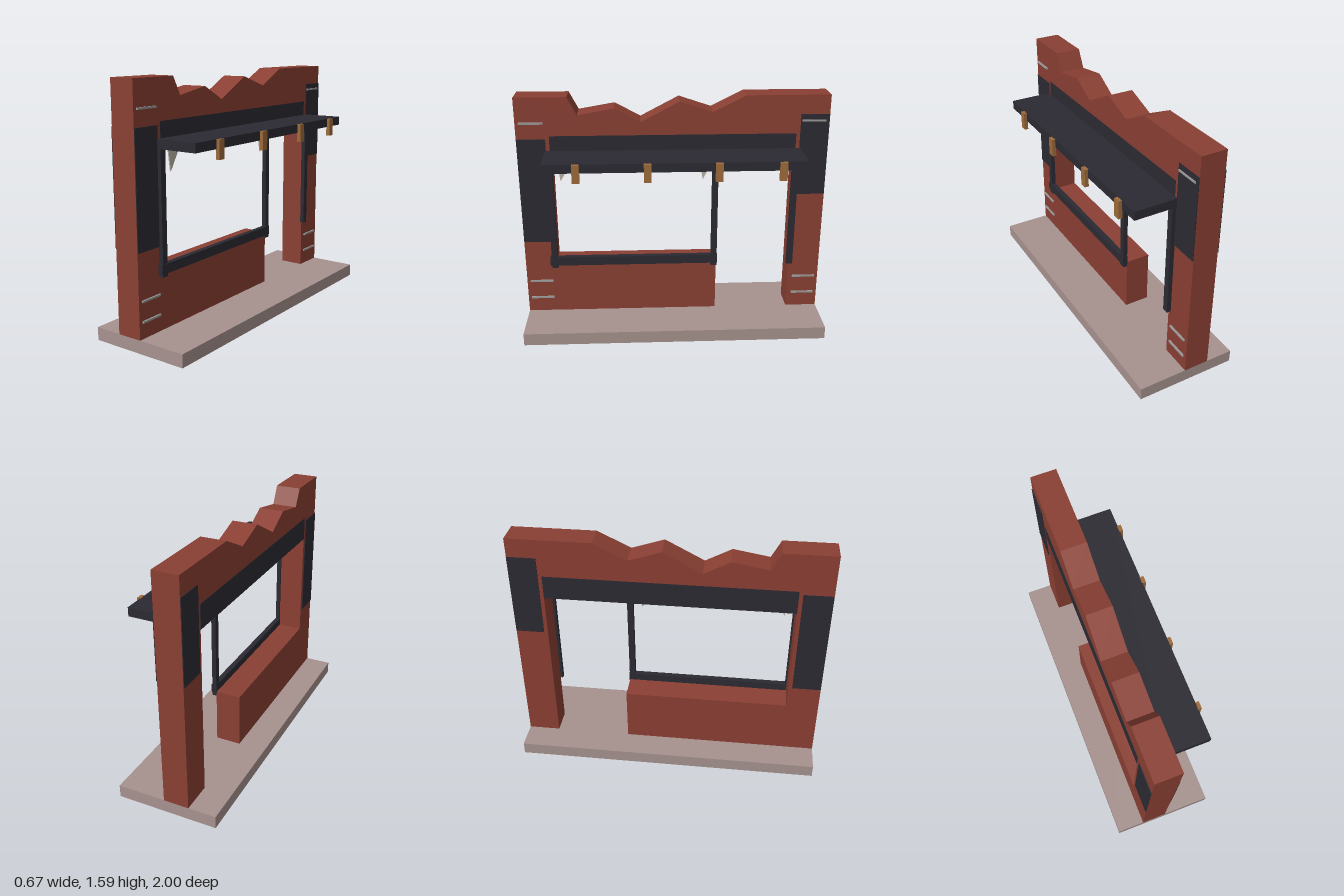
import * as THREE from 'three';

const mat = (color) => new THREE.MeshStandardMaterial({ color, roughness: 0.9, flatShading: true });

export function createModel() {
  const model = new THREE.Group();
  const brick = mat(0x8a3f33), dark = mat(0x2b2a32), stone = mat(0xa6928e);
  const wood = mat(0x9c6a3a), steel = mat(0x9a9a9a), glass = mat(0xbcb2a8);

  // Box given by its limits on each axis
  const box = (name, material, [x0, x1], [y0, y1], [z0, z1]) => {
    const mesh = new THREE.Mesh(new THREE.BoxGeometry(x1 - x0, y1 - y0, z1 - z0), material);
    mesh.position.set((x0 + x1) / 2, (y0 + y1) / 2, (z0 + z1) / 2);
    mesh.name = name;
    model.add(mesh);
  };

  // Slab with an outline of [z, y] points, from x0 to x0 + depth
  const slab = (name, material, points, x0, depth) => {
    const shape = new THREE.Shape(points.map(([z, y]) => new THREE.Vector2(-z, y)));
    const geometry = new THREE.ExtrudeGeometry(shape, { depth, bevelEnabled: false });
    geometry.rotateY(Math.PI / 2);
    geometry.translate(x0, 0, 0);
    const mesh = new THREE.Mesh(geometry, material);
    mesh.name = name;
    model.add(mesh);
  };

  box('base', stone, [-0.333, 0.333], [0, 0.083], [-1, 1]);

  // Wall with broken top edge, window opening and doorway
  slab('wall', brick, [
    [1, 0.083], [-0.29, 0.083], [-0.29, 0.45], [0.79, 0.45], [0.79, 1.22],
    [-0.79, 1.22], [-0.79, 0.083], [-1, 0.083], [-1, 1.585], [-0.46, 1.585],
    [-0.25, 1.48], [-0.04, 1.55], [0.208, 1.42], [0.375, 1.51], [0.607, 1.47],
    [0.667, 1.585], [1, 1.585],
  ], -0.152, 0.167);

  // Dark lintel and pier panels, a little proud of both wall faces
  box('lintel', dark, [-0.154, 0.018], [1.18, 1.335], [-0.79, 0.79]);
  box('frontPanel', dark, [-0.157, 0.02], [0.605, 1.315], [0.815, 0.999]);
  box('backPanel', dark, [-0.157, 0.02], [0.92, 1.46], [-0.999, -0.815]);

  // Shelf awning with wooden blocks on its edge
  box('awning', dark, [0.015, 0.297], [1.18, 1.237], [-0.82, 0.82]);
  for (const z of [0.608, 0.17, -0.27, -0.665]) {
    box('awningBlock', wood, [0.293, 0.319], [1.12, 1.237], [z - 0.023, z + 0.023]);
  }

  // Window frame
  for (const z of [0.8, -0.272, -0.793]) {
    box('framePost', dark, [0.015, 0.044], [0.42, 1.19], [z - 0.02, z + 0.02]);
  }
  box('sill', dark, [0.013, 0.048], [0.44, 0.5], [-0.295, 0.83]);

  // Broken glass hanging from the top of the frame
  slab('glassShard', glass, [[0.73, 1.04], [0.64, 1.19], [0.75, 1.19]], 0.032, 0.008);
  slab('glassShard', glass, [[-0.19, 1.04], [-0.265, 1.19], [-0.16, 1.19]], 0.032, 0.008);

  // Metal strips on the piers
  for (const side of [1, -1]) {
    for (const y of [0.188, 0.313, 1.42]) {
      const z = 0.9 * side;
      box('metalStrip', steel, [0.012, 0.026], [y - 0.006, y + 0.006], [z - 0.077, z + 0.077]);
    }
  }
  return model;
}
